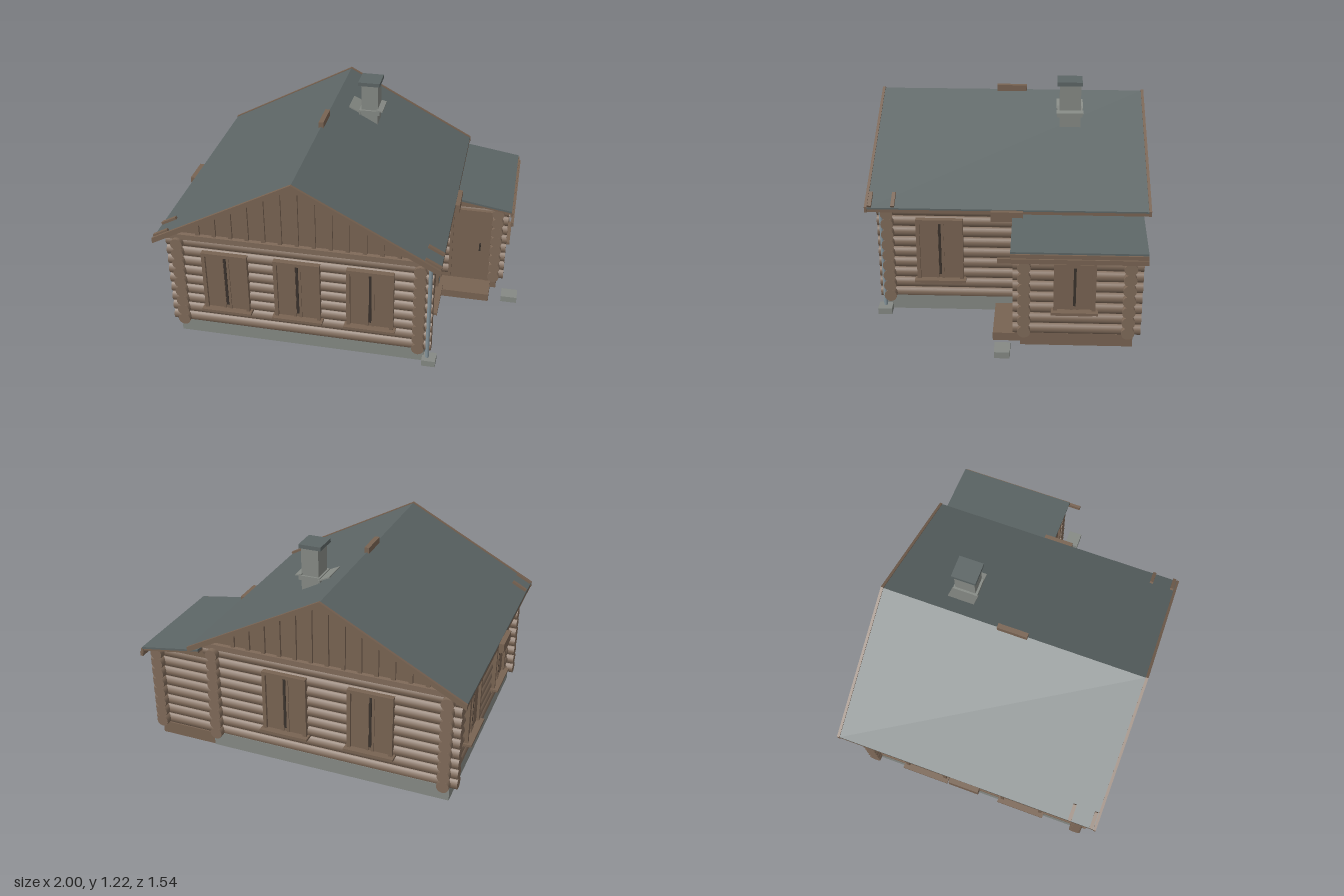
import * as THREE from 'three';

const mat = (name, color, side = THREE.FrontSide) => {
  const m = new THREE.MeshStandardMaterial({ color, side });
  m.name = name;
  return m;
};

export function createModel() {
  const logWood = mat('log wood', 0x7f6a59);
  const trimWood = mat('trim wood', 0x786352);
  const slate = mat('slate roof', 0x5c6565);
  const stone = mat('grey stone', 0x858984);
  const dark = mat('dark gap', 0x3a322c);
  const metal = mat('pipe metal', 0x84939a);

  const model = new THREE.Group();
  model.name = 'logCabin';

  // Box given by its extents on each axis
  const box = (name, m, x0, x1, y0, y1, z0, z1, parent = model) => {
    const mesh = new THREE.Mesh(new THREE.BoxGeometry(x1 - x0, y1 - y0, z1 - z0), m);
    mesh.position.set((x0 + x1) / 2, (y0 + y1) / 2, (z0 + z1) / 2);
    mesh.name = name;
    parent.add(mesh);
    return mesh;
  };
  // Outline in x and y, extruded from z0 to z1
  const prism = (name, m, pts, z0, z1) => {
    const shape = new THREE.Shape(pts.map(p => new THREE.Vector2(p[0], p[1])));
    const geo = new THREE.ExtrudeGeometry(shape, { depth: z1 - z0, bevelEnabled: false });
    const mesh = new THREE.Mesh(geo, m);
    mesh.position.z = z0;
    mesh.name = name;
    model.add(mesh);
  };

  // Stack of round logs along x or z
  const R = 0.035, STEP = 0.064;
  const logWall = (name, axis, at, from, to, count) => {
    const wall = new THREE.Group();
    wall.name = name;
    const geo = new THREE.CylinderGeometry(R, R, to - from, 14);
    if (axis === 'x') geo.rotateZ(Math.PI / 2); else geo.rotateX(Math.PI / 2);
    for (let i = 0; i < count; i++) {
      const log = new THREE.Mesh(geo, logWood);
      const y = 0.103 + i * STEP, mid = (from + to) / 2;
      if (axis === 'x') log.position.set(mid, y, at); else log.position.set(at, y, mid);
      log.name = 'log';
      wall.add(log);
    }
    model.add(wall);
  };

  // Bases and solid cores behind the logs
  box('foundation', stone, -0.89, 0.52, 0, 0.09, -0.685, 0.685);
  box('annexBase', trimWood, 0.52, 0.865, 0, 0.075, -0.68, -0.08);
  box('houseCore', logWood, -0.875, 0.505, 0.08, 0.65, -0.665, 0.675);
  box('annexCore', logWood, 0.5, 0.86, 0.07, 0.575, -0.665, -0.085);

  // Main house and annex log walls
  logWall('frontWall', 'x', 0.66, -0.93, 0.56, 9);
  logWall('backWall', 'x', -0.65, -0.93, 0.56, 9);
  logWall('leftWall', 'z', 0.49, -0.72, 0.72, 9);
  logWall('rightWall', 'z', -0.86, -0.72, 0.72, 9);
  logWall('annexFrontWall', 'x', -0.10, 0.5, 0.905, 8);
  logWall('annexBackWall', 'x', -0.65, 0.5, 0.905, 8);
  logWall('annexSideWall', 'z', 0.845, -0.72, -0.04, 8);
  prism('annexWallTop', trimWood,
    [[0.5, 0.56], [0.87, 0.56], [0.87, 0.572], [0.5, 0.635]], -0.68, -0.07);

  // Gables with vertical battens
  const RX = -0.185;
  const gableY = x => 1.06 - Math.abs(x - RX) * 0.555;
  for (const [z, s] of [[0.66, 1], [-0.65, -1]]) {
    prism('gable', trimWood,
      [[-0.885, 0.65], [0.515, 0.65], [0.515, 0.671], [RX + 0.025, 1.046], [RX - 0.025, 1.046], [-0.885, 0.671]],
      z - 0.015, z + 0.015);
    box('tieBeam', logWood, -0.925, 0.565, 0.64, 0.672, z - 0.04, z + 0.04);
    for (let i = -6; i <= 6; i++) {
      const x = RX + i * 0.093;
      const top = Math.min(gableY(x - 0.011), gableY(x + 0.011), 1.045);
      box('batten', trimWood, x - 0.011, x + 0.011, 0.67, top, z + s * 0.021 - 0.008, z + s * 0.021 + 0.008);
    }
  }

  // Main roof: slate sheet, board layer and rake boards
  const chevron = (top, bottom, xl = -0.972, xr = 0.6) => {
    const y = x => 1.09 - Math.abs(x - RX) * 0.533;
    return [[xl, y(xl) + bottom], [RX, 1.09 + bottom], [xr, y(xr) + bottom],
      [xr, y(xr) + top], [RX, 1.09 + top], [xl, y(xl) + top]];
  };
  prism('roofSheet', slate, chevron(0, -0.009), -0.76, 0.755);
  prism('roofBoards', trimWood, chevron(-0.009, -0.026), -0.76, 0.755);
  prism('rakeBoard', trimWood, chevron(0.006, -0.026, -0.975, 0.603), 0.755, 0.77);
  prism('rakeBoard', trimWood, chevron(0.006, -0.026, -0.975, 0.603), -0.775, -0.76);
  box('ridgeBlock', trimWood, RX - 0.014, RX + 0.014, 1.075, 1.118, -0.087, 0.087);
  box('eaveBlock', trimWood, -1.0, -0.972, 0.612, 0.668, -0.087, 0.087);
  box('eaveBlock', trimWood, 0.6, 0.626, 0.612, 0.668, -0.087, 0.087);

  // Short poles lying on the roof near the front eaves
  for (const s of [-1, 1]) for (const z of [0.617, 0.742]) {
    const pole = box('roofPole', trimWood, -0.048, 0.048, -0.009, 0.009, -0.01, 0.01);
    pole.position.set(RX + s * 0.742, 0.7, z);
    pole.rotation.z = -s * Math.atan(0.533);
  }

  // Annex lean-to roof with fascia and gutter
  prism('annexRoofSheet', slate, [[0.56, 0.635], [0.922, 0.579], [0.922, 0.59], [0.56, 0.647]], -0.735, -0.03);
  prism('annexRoofBoards', trimWood, [[0.56, 0.622], [0.918, 0.566], [0.918, 0.579], [0.56, 0.635]], -0.73, -0.035);
  box('annexFascia', trimWood, 0.915, 0.93, 0.55, 0.58, -0.735, -0.03);
  box('annexGutter', trimWood, 0.922, 0.938, 0.532, 0.558, -0.735, 0.037);

  // Chimney with cap and flashing
  box('chimney', stone, -0.025, 0.075, 0.93, 1.2, -0.4, -0.28);
  box('chimneyCap', slate, -0.042, 0.087, 1.2, 1.222, -0.407, -0.265);
  box('flashingCollar', stone, -0.037, 0.088, 1.015, 1.042, -0.411, -0.267);
  prism('upperFlashing', stone, [[-0.095, 1.057], [-0.025, 1.022], [-0.025, 1.03], [-0.095, 1.064]], -0.416, -0.262);
  prism('lowerFlashing', stone, [[0.07, 1.046], [0.106, 1.038], [0.106, 1.045], [0.07, 1.053]], -0.416, -0.262);

  // Windows: closed shutters, centre gap, frame and sill, facing local +z
  const addWindow = (x, z, turn, y0 = 0.21, y1 = 0.575, w = 0.26) => {
    const g = new THREE.Group(), h = w / 2, t = 0.02;
    g.name = 'window';
    box('shutters', trimWood, -h, h, y0, y1, 0, 0.038, g);
    box('shutterGap', dark, -0.007, 0.007, y0 + 0.022, y1 - 0.03, 0.036, 0.042, g);
    for (const s of [-1, 1]) {
      box('frameSide', trimWood, s * (h - t / 2) - t / 2, s * (h - t / 2) + t / 2, y0, y1, 0, 0.054, g);
      box('shutterEdge', trimWood, s * 0.016 - 0.007, s * 0.016 + 0.007, y0, y1 - t, 0, 0.044, g);
    }
    box('frameTop', trimWood, -h, h, y1 - t, y1, 0, 0.056, g);
    box('sill', trimWood, -h - 0.013, h + 0.013, y0 - 0.014, y0, 0, 0.078, g);
    box('apron', trimWood, -h + 0.012, h - 0.012, y0 - 0.04, y0 - 0.014, 0, 0.04, g);
    g.position.set(x, 0, z);
    g.rotation.y = turn;
    model.add(g);
  };
  for (const x of [-0.595, -0.187, 0.22]) addWindow(x, 0.66, 0);
  for (const x of [-0.44, 0.06]) addWindow(x, -0.65, Math.PI);
  for (const z of [-0.3, 0.31]) addWindow(-0.86, z, -Math.PI / 2);
  addWindow(0.49, 0.375, Math.PI / 2);
  addWindow(0.845, -0.365, Math.PI / 2, 0.235, 0.51, 0.22);

  // Door with frame and handle
  box('doorLeaf', trimWood, 0.585, 0.8, 0.07, 0.545, -0.1, -0.058);
  box('doorFrameSide', trimWood, 0.57, 0.587, 0.07, 0.56, -0.1, -0.045);
  box('doorFrameSide', trimWood, 0.798, 0.815, 0.07, 0.56, -0.1, -0.045);
  box('doorFrameTop', trimWood, 0.57, 0.815, 0.54, 0.56, -0.1, -0.045);
  box('doorHandle', dark, 0.747, 0.757, 0.285, 0.33, -0.06, -0.04);

  // Porch step, splash stones and downpipe
  box('porchStep', trimWood, 0.525, 0.83, 0.0, 0.047, -0.08, 0.068);
  box('splashStone', stone, 0.905, 1.0, 0, 0.037, -0.03, 0.053);
  box('splashStone', stone, 0.515, 0.592, 0, 0.037, 0.652, 0.73);
  const pipe = new THREE.Mesh(new THREE.CylinderGeometry(0.011, 0.011, 0.61, 10), metal);
  pipe.position.set(0.542, 0.34, 0.692);
  pipe.name = 'downpipe';
  model.add(pipe);

  return model;
}
